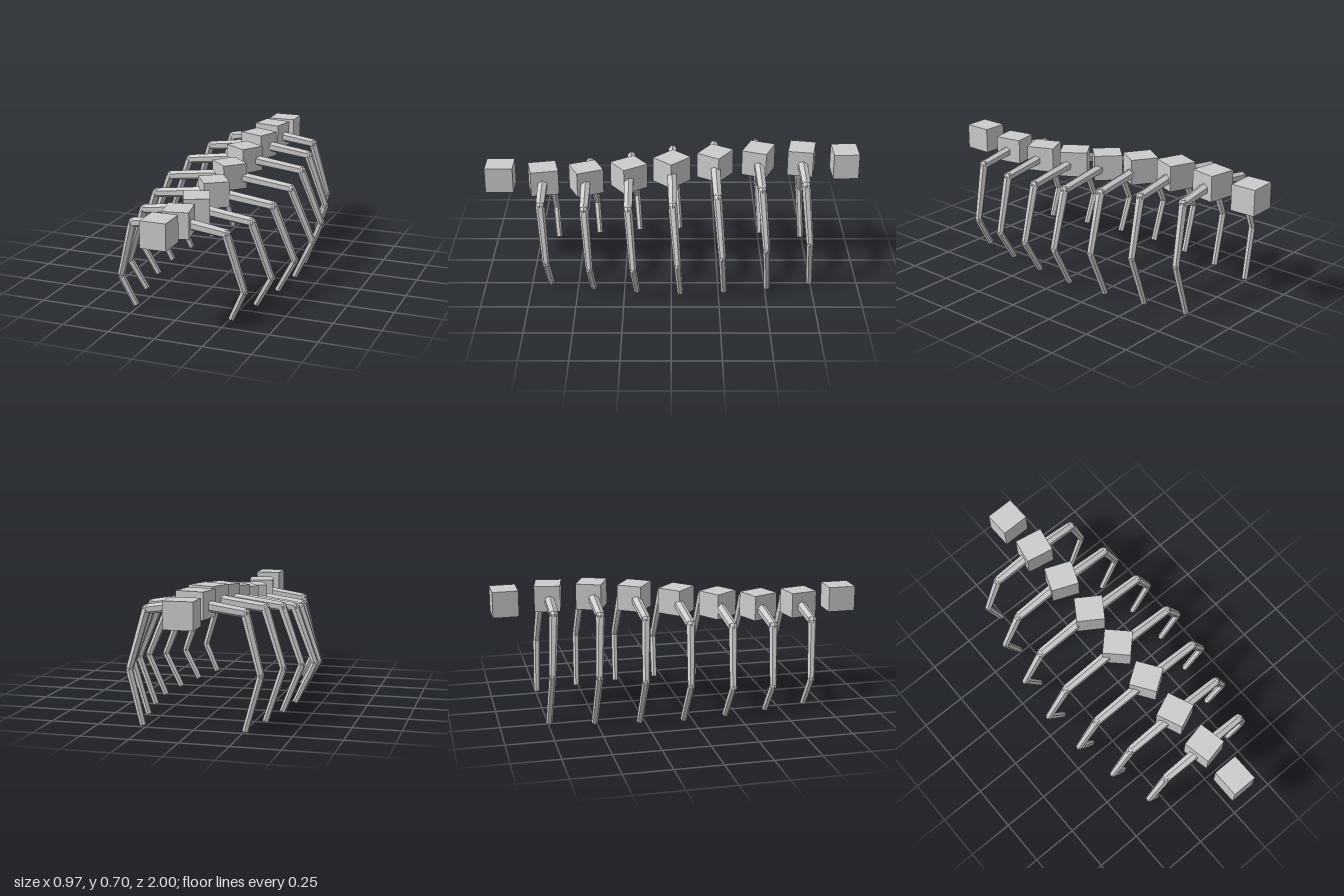
import * as THREE from 'three';

export function createModel() {
  const model = new THREE.Group();
  const bone = new THREE.MeshStandardMaterial({ color: 0xcccccc, flatShading: true });
  bone.name = 'pale grey';

  const add = (parent, geometry, name) => {
    const mesh = new THREE.Mesh(geometry, bone);
    mesh.name = name;
    parent.add(mesh);
    return mesh;
  };

  // Tapered six-sided limb segment from a to b
  const limb = (parent, a, b, ra, rb, name) => {
    const dir = b.clone().sub(a);
    const geo = new THREE.CylinderGeometry(rb, ra, dir.length(), 6, 1, false, Math.PI / 6);
    const mesh = add(parent, geo, name);
    mesh.position.copy(a).add(b).multiplyScalar(0.5);
    mesh.quaternion.setFromUnitVectors(new THREE.Vector3(0, 1, 0), dir.normalize());
  };

  // Low-poly ball that fills a bend in the leg
  const joint = (parent, p, r, name) => {
    add(parent, new THREE.SphereGeometry(r, 6, 5), name).position.copy(p);
  };

  const heights = [0.526, 0.508, 0.508, 0.531, 0.565, 0.6, 0.623, 0.627, 0.611];
  const reach = [0, 0.72, 0.85, 0.95, 1, 0.95, 0.85, 0.72, 0];

  heights.forEach((y, i) => {
    const z = 0.925 - i * 0.232;

    // Body segments twist a quarter turn along the spine
    const body = add(model, new THREE.BoxGeometry(0.136, 0.138, 0.15), 'bodySegment' + i);
    body.position.set(0, y, z);
    body.rotation.y = THREE.MathUtils.degToRad(i * 11.35);

    // Mirrored three-part legs on all but the end segments
    const k = reach[i];
    if (!k) return;
    for (const side of [1, -1]) {
      const leg = new THREE.Group();
      leg.name = (side > 0 ? 'left' : 'right') + 'Leg' + i;
      const hip = new THREE.Vector3(side * 0.03, y - 0.005, z);
      const shoulder = new THREE.Vector3(side * 0.35 * k, y - 0.015 - 0.03 * k, z - 0.004);
      const knee = new THREE.Vector3(side * 0.468 * k, y - 0.34, z - 0.03);
      const foot = new THREE.Vector3(side * 0.365 * k, 0.009, z - 0.046);
      limb(leg, hip, shoulder, 0.029, 0.025, 'upperLeg');
      joint(leg, shoulder, 0.025, 'shoulderJoint');
      limb(leg, shoulder, knee, 0.024, 0.019, 'middleLeg');
      joint(leg, knee, 0.0195, 'kneeJoint');
      limb(leg, knee, foot, 0.019, 0.017, 'lowerLeg');
      model.add(leg);
    }
  });

  return model;
}
